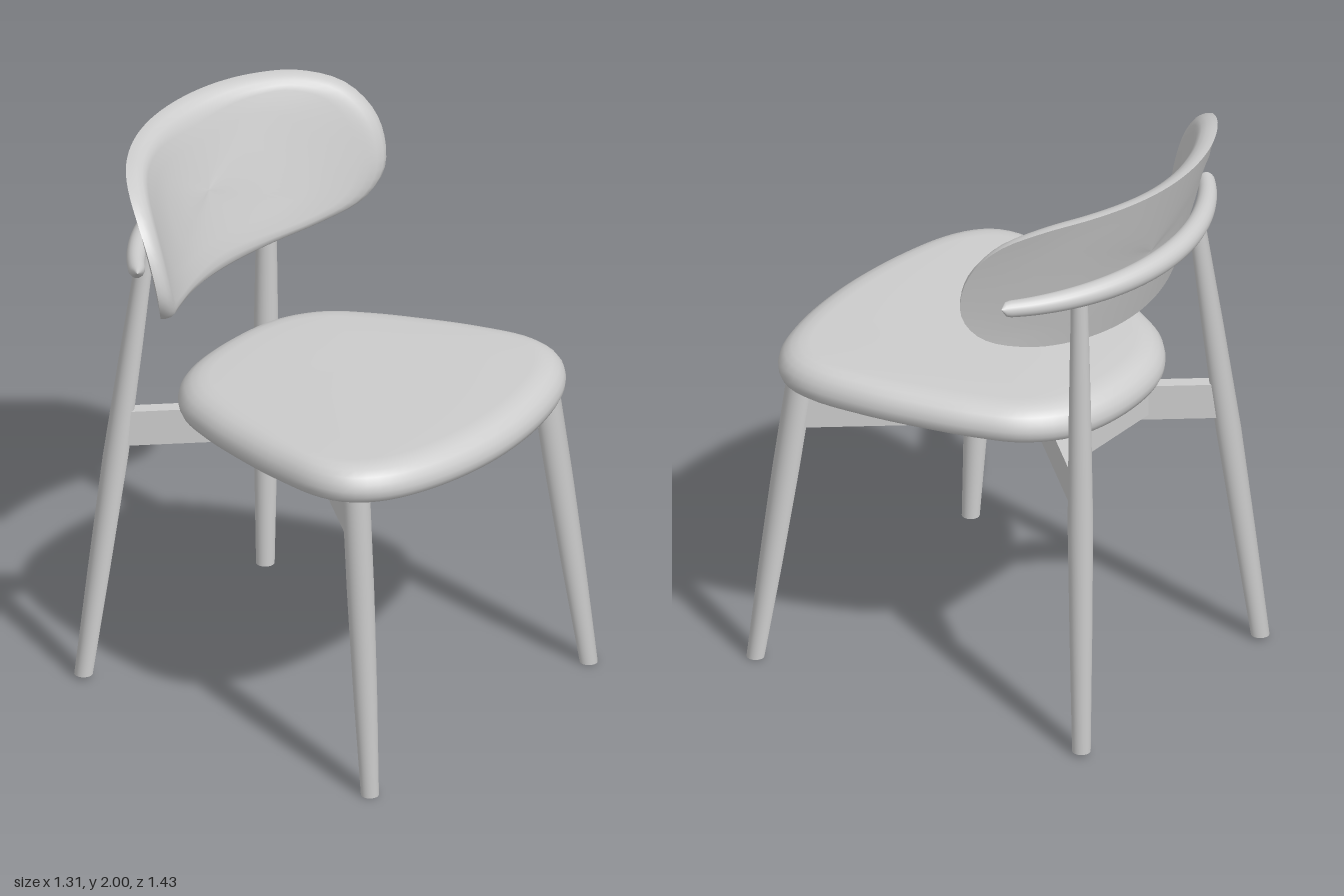
import * as THREE from 'three';

// Full closed outline from its right half, listed counter-clockwise bottom to top
function mirrorOutline(half, count = 96) {
  const left = half.slice(1, -1).reverse().map(([u, v]) => [-u, v]);
  const pts = [...half, ...left].map(([u, v]) => new THREE.Vector3(u, v, 0));
  return new THREE.CatmullRomCurve3(pts, true).getSpacedPoints(count).slice(0, count);
}

// Skin through scaled copies of an outline. Each ring is [inset, scale, depth]
function loft(outline, rings, place) {
  const n = outline.length, pos = [], index = [];
  rings.forEach(([inset, scale, depth], i) => {
    outline.forEach((p, j) => {
      const k = (1 - inset / p.length()) * scale;
      pos.push(...place(p.x * k, p.y * k, depth));
      if (i === rings.length - 1) return;
      const a = i * n + j, b = i * n + (j + 1) % n;
      index.push(a, b, b + n, a, b + n, a + n);
    });
  });
  const g = new THREE.BufferGeometry();
  g.setAttribute('position', new THREE.Float32BufferAttribute(pos, 3));
  g.setIndex(index);
  g.computeVertexNormals();
  return g;
}

// Leaning leg with level ends, its radius varying along its height
function legGeometry(foot, top, radii) {
  const h = top[1] - foot[1];
  const g = new THREE.CylinderGeometry(1, 1, h, 28, 16);
  const p = g.attributes.position;
  for (let i = 0; i < p.count; i++) {
    const t = THREE.MathUtils.clamp(p.getY(i) / h + 0.5, 0, 1);
    const s = t * (radii.length - 1), k = Math.min(Math.floor(s), radii.length - 2);
    const r = THREE.MathUtils.lerp(radii[k], radii[k + 1], s - k);
    p.setXYZ(i,
      p.getX(i) * r + THREE.MathUtils.lerp(foot[0], top[0], t),
      foot[1] + h * t,
      p.getZ(i) * r + THREE.MathUtils.lerp(foot[2], top[2], t));
  }
  return g;
}

export function createModel() {
  const group = new THREE.Group();
  const grey = new THREE.MeshStandardMaterial({ color: 0xcccccc });
  grey.name = 'light grey';
  const add = (name, geometry) => {
    const mesh = new THREE.Mesh(geometry, grey);
    mesh.name = name;
    group.add(mesh);
    return mesh;
  };

  // Seat: rounded pad, slightly dished across and sloping to the rear
  const seatOutline = mirrorOutline([
    [0, -0.717], [0.3, -0.685], [0.5, -0.615], [0.6, -0.525], [0.633, -0.41], [0.607, -0.2],
    [0.555, 0], [0.485, 0.2], [0.4, 0.355], [0.25, 0.465], [0, 0.505],
  ]);
  const seatRings = [
    [0.03, 0, 0], [0.03, 0.33, 0], [0.03, 0.66, 0], [0.03, 1, 0], [0.03, 1, 0], [0.012, 1, 0.01],
    [0.002, 1, 0.03], [0, 1, 0.05], [0.006, 1, 0.075], [0.022, 1, 0.098], [0.045, 1, 0.116],
    [0.075, 1, 0.127], [0.11, 1, 0.131], [0.11, 0.75, 0.134], [0.11, 0.4, 0.136], [0.11, 0, 0.136],
  ];
  add('seat', loft(seatOutline, seatRings, (u, v, d) =>
    [u, 1.04 + d + 0.022 * (u / 0.6) ** 2 - 0.022 * v, -v]));

  // Backrest: oval pad bent round an arc and leaning back
  const R = 0.82;
  const backOutline = mirrorOutline([
    [0, -0.29], [0.25, -0.278], [0.44, -0.247], [0.57, -0.19], [0.635, -0.1], [0.656, 0.02],
    [0.643, 0.13], [0.595, 0.215], [0.5, 0.263], [0.35, 0.283], [0, 0.29],
  ]);
  const backRings = [
    [0, 0, 0], [0, 0.25, 0], [0, 0.5, 0], [0, 0.75, 0], [0, 1, 0], [0, 1, 0], [0, 1, 0.018],
    [0.006, 1, 0.036], [0.02, 1, 0.052], [0.042, 1, 0.061], [0.07, 1, 0.064],
    [0.07, 0.75, 0.064], [0.07, 0.5, 0.064], [0.07, 0.25, 0.064], [0.07, 0, 0.064],
  ];
  add('backrest', loft(backOutline, backRings, (u, v, d) => {
    const a = Math.asin(u / R);
    return [(R - d) * Math.sin(a), 1.71 + v, -0.602 - 0.31 * v + R - (R - d) * Math.cos(a)];
  }));

  // Curved rail behind the backrest, tapering to round ends
  const railPoints = [];
  for (let i = -6; i <= 6; i++) {
    const a = i / 6 * 0.755;
    railPoints.push(new THREE.Vector3(0.86 * Math.sin(a), 1.675, -0.632 + 0.86 * (1 - Math.cos(a))));
  }
  const railCurve = new THREE.CatmullRomCurve3(railPoints);
  const steps = 80, sides = 20;
  const rail = new THREE.TubeGeometry(railCurve, steps, 1, sides);
  const railPos = rail.attributes.position, point = new THREE.Vector3();
  for (let i = 0; i <= steps; i++) {
    const c = railCurve.getPointAt(i / steps);
    const e = Math.abs(2 * i / steps - 1);
    const cap = Math.sqrt(Math.max(0, 1 - Math.max(0, (e - 0.95) / 0.05) ** 2));
    const r = (0.042 - 0.014 * e * e) * cap;
    for (let j = 0; j <= sides; j++) {
      const k = i * (sides + 1) + j;
      point.fromBufferAttribute(railPos, k).sub(c).multiplyScalar(r).add(c);
      railPos.setXYZ(k, point.x, point.y, point.z);
    }
  }
  add('backRail', rail);

  // Legs and the crossed braces under the seat
  for (const s of [1, -1]) {
    const side = s > 0 ? 'Left' : 'Right';
    add('frontLeg' + side, legGeometry([s * 0.62, 0, 0.625], [s * 0.533, 1.08, 0.5], [0.031, 0.041, 0.047, 0.048]));
    add('backLeg' + side, legGeometry([s * 0.515, 0.012, -0.685], [s * 0.337, 1.665, -0.545], [0.032, 0.039, 0.044, 0.038, 0.029]));

    const from = new THREE.Vector3(s * 0.53, 0.975, 0.49);
    const to = new THREE.Vector3(s * -0.41, 0.952, -0.595);
    const brace = add('crossBrace' + side, new THREE.BoxGeometry(0.05, 0.13, from.distanceTo(to)));
    brace.position.copy(from).add(to).multiplyScalar(0.5);
    brace.lookAt(to);
  }

  // Crossbars joining the braces
  for (const [name, width, y, z] of [['frontCrossbar', 0.8, 0.98, 0.36], ['rearCrossbar', 0.48, 0.96, -0.4]]) {
    add(name, new THREE.BoxGeometry(width, 0.1, 0.045)).position.set(0, y, z);
  }
  return group;
}
